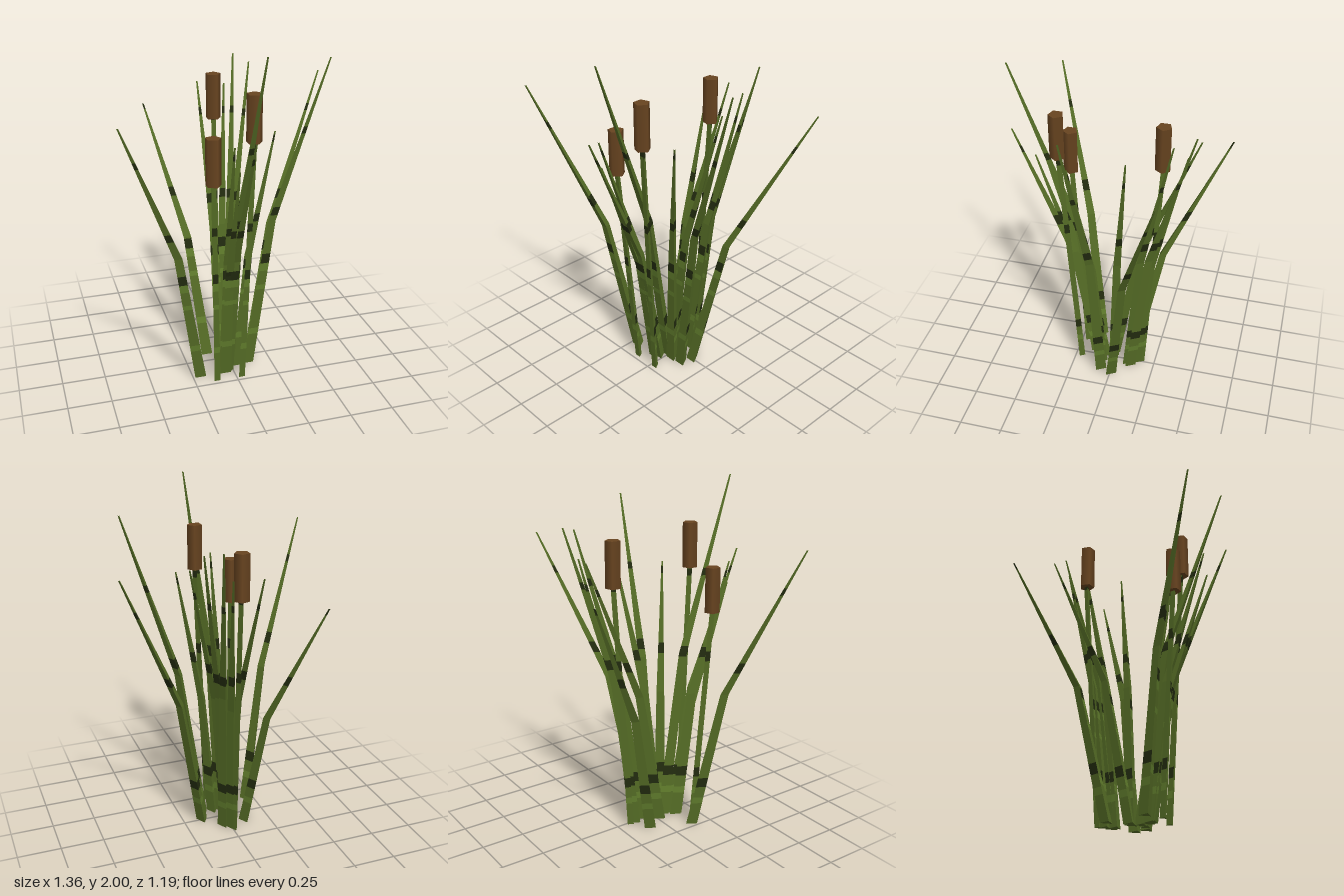
import * as THREE from 'three';

const material = (name, color) => {
  const m = new THREE.MeshStandardMaterial({ color });
  m.name = name;
  return m;
};

// [base x, base z, tip x, tip z, height]
const BLADES = [
  [-0.105, -0.09, -0.35, -0.59, 1.48],
  [-0.047, 0.02, -0.05, -0.455, 1.63],
  [0.0, -0.13, 0.1, -0.41, 1.62],
  [0.035, -0.1, 0.17, -0.46, 1.78],
  [0.02, -0.08, 0.235, -0.355, 1.75],
  [0.135, 0.0, 0.67, -0.355, 1.67],
  [-0.02, 0.02, 0.23, -0.11, 1.61],
  [0.11, 0.07, 0.535, 0.145, 1.87],
  [0.04, 0.08, 0.205, 0.215, 1.51],
  [-0.01, 0.07, 0.035, 0.57, 2.0],
  [-0.03, 0.12, -0.02, 0.59, 1.58],
  [-0.05, 0.14, -0.07, 0.48, 1.4],
  [-0.055, 0.13, -0.095, 0.47, 1.53],
  [-0.205, 0.14, -0.68, 0.5, 1.69],
];

// [base x, base z, top x, top z, bottom of head]
const CATTAILS = [
  [-0.01, -0.165, -0.005, -0.26, 1.46],
  [0.03, 0.213, 0.06, 0.305, 1.49],
  [-0.12, 0.213, -0.16, 0.3, 1.27],
];

// Bands [from, to, material] on the front face and on the two rear faces: 1 = dark, 2 = light
const FRONT_BANDS = [[0.2, 0.24, 2], [0.5, 0.53, 2], [0.62, 0.67, 2], [0.67, 0.73, 1],
  [0.97, 1.02, 1], [1.45, 1.49, 1]];
const REAR_BANDS = [[0.14, 0.18, 2], [0.25, 0.31, 1], [0.98, 1.04, 1], [1.44, 1.48, 1]];

// Cross-section in widths: flat face to the front, ridge to the back
const CORNERS = [[-0.5, 0.29], [0.5, 0.29], [0, -0.58]];

// Three-sided stalk from the ground to a height, kinked halfway and banded by face
function stalkGeometry([bx, bz, tx, tz, height], widths, kink) {
  const mid = height / 2;
  const point = (k, y) => {
    const upper = y > mid;
    const t = upper ? (y - mid) / (height - mid) : y / mid;
    const f = upper ? kink + (1 - kink) * t : kink * t;
    const w = upper ? THREE.MathUtils.lerp(widths[1], widths[2], t)
      : THREE.MathUtils.lerp(widths[0], widths[1], t);
    return [bx + (tx - bx) * f + CORNERS[k][0] * w, y, bz + (tz - bz) * f + CORNERS[k][1] * w];
  };

  const positions = [];
  const geometry = new THREE.BufferGeometry();
  const add = (mat, ...points) => {
    geometry.addGroup(positions.length / 3, points.length, mat);
    positions.push(...points.flat());
  };
  for (let i = 0; i < 3; i++) {
    const j = (i + 1) % 3;
    const bands = i === 0 ? FRONT_BANDS : REAR_BANDS;
    const cuts = [...new Set([0, mid, height, ...bands.flatMap(b => [b[0], b[1]])])]
      .filter(y => y <= height).sort((a, b) => a - b);
    for (let n = 0; n < cuts.length - 1; n++) {
      const lo = cuts[n], hi = cuts[n + 1], c = (lo + hi) / 2;
      const band = bands.find(b => c > b[0] && c < b[1]);
      const a = point(i, lo), b = point(j, lo), u = point(j, hi), v = point(i, hi);
      add(band ? band[2] : 0, a, b, u, a, u, v);
    }
  }
  // Closed foot
  add(0, point(0, 0), point(2, 0), point(1, 0));
  geometry.setAttribute('position', new THREE.Float32BufferAttribute(positions, 3));
  geometry.computeVertexNormals();
  return geometry;
}

export function createModel() {
  const model = new THREE.Group();
  model.name = 'cattailReeds';
  const greens = [
    material('leafGreen', 0x546b25),
    material('darkBand', 0x222b0f),
    material('lightBand', 0x607c2c),
  ];
  const brown = material('seedBrown', 0x684420);

  // Leaves
  BLADES.forEach((spec, i) => {
    const blade = new THREE.Mesh(stalkGeometry(spec, [0.066, 0.046, 0.009], 0.3), greens);
    blade.name = `blade${i + 1}`;
    model.add(blade);
  });

  // Stems with five-sided seed heads
  CATTAILS.forEach((spec, i) => {
    const cattail = new THREE.Group();
    cattail.name = `cattail${i + 1}`;
    const stem = new THREE.Mesh(stalkGeometry(spec, [0.036, 0.032, 0.028], 0.5), greens);
    stem.name = 'stem';
    const head = new THREE.Mesh(new THREE.CylinderGeometry(0.044, 0.044, 0.26, 5), brown);
    head.name = 'seedHead';
    head.rotation.y = Math.PI / 2;
    head.position.set(spec[2], spec[4] + 0.13, spec[3]);
    cattail.add(stem, head);
    model.add(cattail);
  });
  return model;
}
